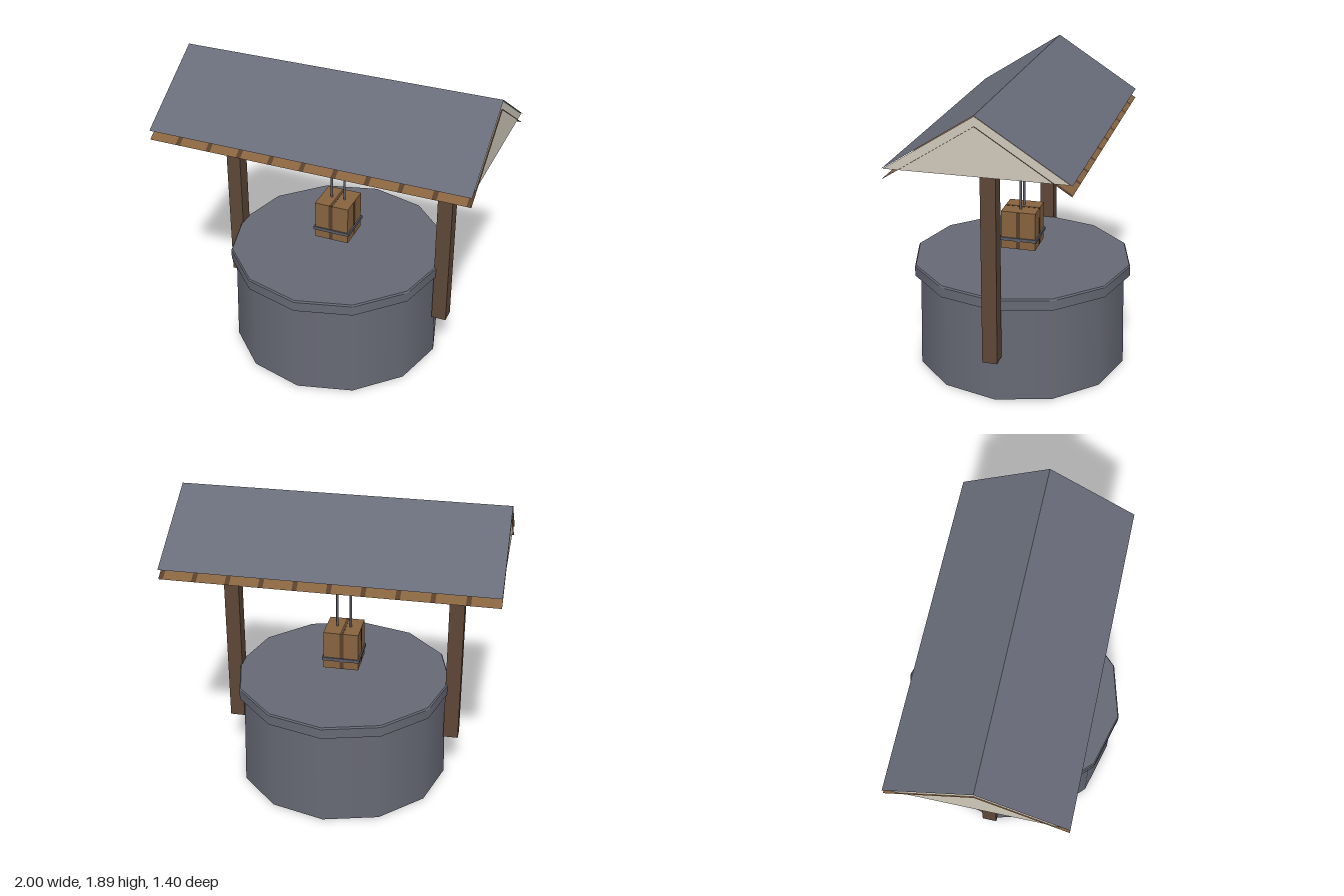
import * as THREE from 'three';

const material = (name, color, side = THREE.FrontSide) => {
  const m = new THREE.MeshStandardMaterial({ color, side });
  m.name = name;
  return m;
};

export function createModel() {
  const stone = material('slate grey stone', 0x666874, THREE.DoubleSide);
  const roofSlate = material('roof slate', 0x686c79, THREE.DoubleSide);
  const plaster = material('cream plaster', 0xd0c9ba, THREE.DoubleSide);
  const plankWood = material('plank wood', 0x87633f, THREE.DoubleSide);
  const gapWood = material('dark plank gap', 0x573f2b, THREE.DoubleSide);
  const postWood = material('post wood', 0x5d4737);
  const iron = material('iron grey', 0x5a5c66);
  const water = material('water blue', 0x4b759f, THREE.DoubleSide);

  const model = new THREE.Group();
  model.name = 'well';

  const add = (name, geometry, mat, x = 0, y = 0, z = 0, parent = model) => {
    const mesh = new THREE.Mesh(geometry, mat);
    mesh.name = name;
    mesh.position.set(x, y, z);
    parent.add(mesh);
    return mesh;
  };
  const box = (name, w, h, d, mat, x, y, z, parent) =>
    add(name, new THREE.BoxGeometry(w, h, d), mat, x, y, z, parent);
  const drum = (name, rTop, rBottom, y0, y1, mat, open) =>
    add(name, new THREE.CylinderGeometry(rTop, rBottom, y1 - y0, 12, 1, open), mat, 0, (y0 + y1) / 2);

  // Twelve-sided wall, open below, with a capped rim
  drum('wall', 0.66, 0.675, 0, 0.62, stone, true);
  drum('rim', 0.7, 0.7, 0.612, 0.675, stone, false).scale.x = 0.985;
  drum('rimBevel', 0.693, 0.7, 0.675, 0.685, stone, false).scale.x = 0.985;

  // Water shaft: side wall and a lid, open at the bottom
  drum('waterShaft', 0.5, 0.5, 0.004, 0.41, water, true);
  add('waterSurface', new THREE.CircleGeometry(0.5, 12).rotateZ(Math.PI / 2).rotateX(-Math.PI / 2),
    water, 0, 0.41);

  // Posts and crossbeam
  for (const side of [-1, 1]) {
    box(side > 0 ? 'leftPost' : 'rightPost', 0.094, 1.255, 0.092, postWood, side * 0.712, 0.9225, 0);
  }
  box('crossbeam', 1.56, 0.065, 0.06, postWood, 0, 1.51, 0);

  // Roof: thin sheets sloping from a ridge to an eave
  const eaveZ = 0.535;
  const slope = (name, x0, x1, ridgeY, eaveY, side, mat, parent) => {
    const z = side * eaveZ;
    const corners = [[x0, ridgeY, 0], [x0, eaveY, z], [x1, eaveY, z], [x1, ridgeY, 0]];
    if (side < 0) corners.reverse();
    const g = new THREE.BufferGeometry();
    g.setAttribute('position', new THREE.Float32BufferAttribute(corners.flat(), 3));
    g.setIndex([0, 1, 2, 0, 2, 3]);
    g.computeVertexNormals();
    add(name, g, mat, 0, 0, 0, parent);
  };

  const roof = new THREE.Group();
  roof.name = 'roof';
  model.add(roof);
  const planks = 10, pitch = 2 / planks, gap = 0.028;
  for (const side of [-1, 1]) {
    slope('roofSlope', -1, 1, 1.893, 1.55, side, roofSlate, roof);
    // Plank lining under the slope, with dark joints
    for (let i = 0; i < planks; i++) {
      const x = -1 + i * pitch;
      slope('liningPlank', x, x + pitch - gap, 1.833, 1.49, side, plankWood, roof);
      slope('liningGap', x + pitch - gap, x + pitch, 1.833, 1.49, side, gapWood, roof);
    }
  }

  // Gable triangles
  const gable = new THREE.Shape([
    new THREE.Vector2(-0.525, 1.552),
    new THREE.Vector2(0.525, 1.552),
    new THREE.Vector2(0, 1.888),
  ]);
  for (const side of [-1, 1]) {
    add('gable', new THREE.ShapeGeometry(gable).rotateY(side * Math.PI / 2), plaster, side * 0.993, 0, 0, roof);
  }

  // Bucket: square planked body with an iron band
  const bucket = new THREE.Group();
  bucket.name = 'bucket';
  bucket.position.set(-0.003, 0, 0);
  model.add(bucket);
  box('bucketBody', 0.222, 0.248, 0.222, plankWood, 0, 0.885, 0, bucket);
  box('bucketBand', 0.24, 0.02, 0.24, iron, 0, 0.826, 0, bucket);
  box('bucketGapFrontBack', 0.025, 0.246, 0.225, gapWood, -0.005, 0.885, 0, bucket);
  box('bucketGapSides', 0.225, 0.246, 0.025, gapWood, 0, 0.885, 0, bucket);
  box('bucketTopGap', 0.02, 0.003, 0.22, gapWood, -0.005, 1.009, 0, bucket);

  // Two ropes up to the beam
  for (const side of [-1, 1]) {
    add('rope', new THREE.CylinderGeometry(0.008, 0.008, 0.48, 8), iron, side * 0.043, 1.24, 0, bucket);
  }

  return model;
}
